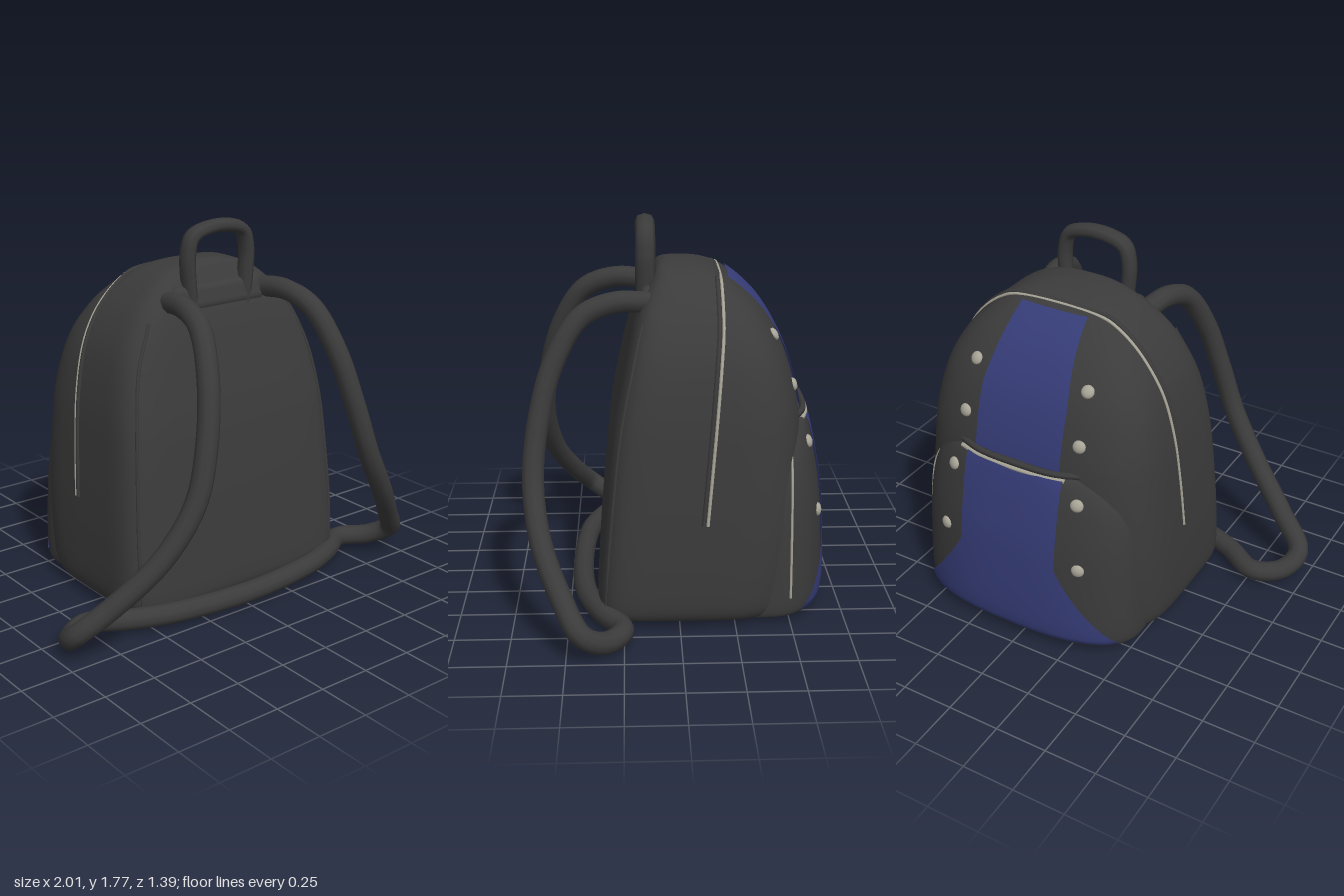
import * as THREE from 'three';
import { mergeVertices } from 'three/addons/utils/BufferGeometryUtils.js';
import { RoundedBoxGeometry } from 'three/addons/geometries/RoundedBoxGeometry.js';

const V = (x, y, z) => new THREE.Vector3(x, y, z);
const CX = 0.065; // the bag sits slightly off the centre of the strap loop

// Smooth grid surface from fn(u, v) -> Vector3, u around, v upwards
function grid(fn, nu, nv) {
  const pos = [], idx = [];
  for (let i = 0; i <= nv; i++)
    for (let j = 0; j <= nu; j++) pos.push(...fn(j / nu, i / nv).toArray());
  for (let i = 0; i < nv; i++)
    for (let j = 0; j < nu; j++) {
      const a = i * (nu + 1) + j, b = a + 1, c = a + nu + 1, d = c + 1;
      idx.push(a, c, b, b, c, d);
    }
  let g = new THREE.BufferGeometry();
  g.setAttribute('position', new THREE.Float32BufferAttribute(pos, 3));
  g.setIndex(idx);
  g = mergeVertices(g, 1e-5);
  g.computeVertexNormals();
  return g;
}

// Padded shell of stacked rounded sections; rows are [y, halfWidth, zFront, zBack]
function shell(rows, nFront, nFrontTop, nBack) {
  const a = new THREE.CatmullRomCurve3(rows.map(r => V(r[0], r[1], 0)), false, 'catmullrom');
  const b = new THREE.CatmullRomCurve3(rows.map(r => V(r[2], r[3], 0)), false, 'catmullrom');
  const at = t => {
    const p = a.getPoint(t), q = b.getPoint(t), zc = (q.x + q.y) / 2;
    return { y: p.x, w: p.y, zc, d: (q.x - q.y) / 2 };
  };
  const tOf = y => {
    let lo = 0, hi = 1;
    for (let i = 0; i < 30; i++) {
      const m = (lo + hi) / 2;
      if (at(m).y < y) lo = m; else hi = m;
    }
    return lo;
  };
  const root = f => Math.pow(Math.max(0, 1 - Math.pow(Math.min(1, Math.abs(f)), nBack)), 1 / nBack);
  const surf = (t, ang) => {
    const s = at(t), c = Math.cos(ang), n = Math.sin(ang);
    const e = 2 / (n > 0 ? nFront + (nFrontTop - nFront) * t * t : nBack);
    return V(s.w * Math.sign(c) * Math.abs(c) ** e, s.y, s.zc + s.d * Math.sign(n) * Math.abs(n) ** e);
  };
  const onBack = (y, x) => {
    const s = at(tOf(y));
    return V(x, y, s.zc - s.d * root(x / s.w));
  };
  const onSide = (y, z, side) => {
    const s = at(tOf(y));
    return V(side * s.w * root((z - s.zc) / s.d), y, z);
  };
  const N = (rows.length - 1) * 4;
  const geometry = grid((u, v) => {
    const k = Math.round(v * (N + 2)) - 1; // first and last rows close the ends
    const t = Math.min(1, Math.max(0, k / N));
    if (k >= 0 && k <= N) return surf(t, (u % 1) * Math.PI * 2);
    const s = at(t);
    return V(0, s.y, s.zc);
  }, 64, N + 2);
  return { surf, onBack, onSide, tOf, geometry };
}

export function createModel() {
  const model = new THREE.Group();
  model.name = 'backpack';
  const mat = (name, color, side = THREE.FrontSide) => {
    const m = new THREE.MeshStandardMaterial({ color, side });
    m.name = name;
    return m;
  };
  const fabric = mat('charcoal fabric', 0x3b3b3b);
  const blue = mat('blue fabric', 0x363d78, THREE.DoubleSide);
  const metal = mat('dull silver', 0xa9a698);

  const bag = new THREE.Group();
  bag.name = 'bag';
  bag.position.x = CX;
  model.add(bag);
  const add = (name, geo, material, parent = bag) => {
    const m = new THREE.Mesh(geo, material);
    m.name = name;
    parent.add(m);
    return m;
  };
  const tube = (pts, r, seg = 60, sides = 8) =>
    new THREE.TubeGeometry(new THREE.CatmullRomCurve3(pts), seg, r, sides);

  // Main compartment
  const body = shell([
    [0.02, 0.57, 0.33, -0.50], [0.05, 0.615, 0.365, -0.53], [0.15, 0.635, 0.37, -0.55],
    [0.45, 0.63, 0.345, -0.58], [0.8, 0.605, 0.31, -0.57], [1.0, 0.58, 0.275, -0.545],
    [1.2, 0.53, 0.23, -0.485], [1.35, 0.45, 0.19, -0.40], [1.45, 0.36, 0.15, -0.31],
    [1.52, 0.27, 0.11, -0.22], [1.56, 0.17, 0.085, -0.13], [1.58, 0.05, 0.05, -0.03],
  ], 8, 3, 3.5);
  add('mainCompartment', body.geometry, fabric);

  // Outer pocket
  const pocket = shell([
    [0.02, 0.55, -0.1, -0.64], [0.05, 0.575, -0.1, -0.68], [0.2, 0.575, -0.1, -0.69],
    [0.5, 0.56, -0.12, -0.675], [0.7, 0.53, -0.15, -0.645], [0.82, 0.47, -0.2, -0.62],
    [0.89, 0.40, -0.2, -0.60], [0.91, 0.34, -0.2, -0.57],
  ], 3, 3, 2.6);
  add('outerPocket', pocket.geometry, fabric);

  // Blue centre stripe, laid just over each shell
  const stripe = (sh, y0, y1, half) => grid((u, v) => {
    const y = y0 + (y1 - y0) * v;
    const p = sh.onBack(y, (u * 2 - 1) * half(y));
    return V(p.x * 1.012, p.y + 0.004, p.z - 0.008);
  }, 28, 36);
  add('upperStripe', stripe(body, 0.86, 1.515, y => 0.22 - 0.05 * Math.max(0, (y - 1.2) / 0.3)), blue);
  add('pocketStripe', stripe(pocket, 0.025, 0.885,
    y => 0.25 + 0.28 * Math.min(1, Math.max(0, (0.45 - y) / 0.4)) ** 1.2), blue);

  // Main zip, running up both sides and over the top, with a dark piping behind
  const zipPath = dz => {
    const ys = [0.5, 0.75, 1.0, 1.2, 1.33, 1.42, 1.48, 1.515];
    const z = y => -0.12 - 0.075 * Math.min(1, (y - 0.5) / 0.85) + dz;
    const right = ys.map(y => body.onSide(y, z(y), -1));
    const left = ys.map(y => body.onSide(y, z(y), 1)).reverse();
    return [...right, ...left];
  };
  add('mainZip', tube(zipPath(0), 0.008, 120, 6), metal);
  add('zipPiping', tube(zipPath(0.018), 0.012, 120, 6), fabric);

  // Pocket zip across the top, and down the left edge
  add('pocketZip', tube([-0.26, -0.1, 0.06, 0.2, 0.3].map(x => pocket.onBack(0.885, x)), 0.011, 40, 6), metal);
  add('pocketSideZip', tube([0.84, 0.7, 0.5, 0.3, 0.12].map(y => pocket.onSide(y, -0.5, 1)), 0.006, 40, 6), metal);
  add('pocketPiping', tube([-0.34, -0.2, 0, 0.2, 0.34].map(x =>
    pocket.onBack(0.89, x).add(V(0, 0.015, 0.01))), 0.016, 40, 6), fabric);

  // Piping along the edges of the back panel
  for (const side of [1, -1]) {
    const pts = [0.08, 0.3, 0.6, 0.9, 1.15, 1.35].map(y =>
      body.surf(body.tOf(y), side > 0 ? Math.PI / 4 : Math.PI * 0.75));
    add('panelPiping', tube(pts, 0.009, 40, 6), fabric);
  }

  // Studs in pairs beside the stripe
  for (const side of [1, -1])
    for (const [sh, y, x] of [[body, 1.28, 0.29], [body, 1.05, 0.3], [pocket, 0.79, 0.33], [pocket, 0.47, 0.36]]) {
      const p = sh.onBack(y, side * x);
      const dx = sh.onBack(y, side * x + 0.01).sub(p), dy = sh.onBack(y + 0.01, side * x).sub(p);
      const stud = add('stud', new THREE.SphereGeometry(0.031, 12, 8), metal);
      stud.scale.z = 0.55;
      stud.position.copy(p);
      stud.quaternion.setFromUnitVectors(V(0, 0, 1), dy.cross(dx).normalize());
    }

  // Carry handle and its anchor
  const loop = tube([V(-0.15, 1.36, 0), V(-0.165, 1.5, 0), V(-0.17, 1.62, 0), V(-0.145, 1.705, 0),
    V(-0.06, 1.738, 0), V(0.06, 1.738, 0), V(0.145, 1.705, 0), V(0.17, 1.62, 0),
    V(0.165, 1.5, 0), V(0.15, 1.36, 0)], 0.032, 50, 8);
  loop.scale(1, 1, 1.4);
  add('carryHandle', loop, fabric).position.z = 0.14;
  const anchor = add('handleAnchor', new RoundedBoxGeometry(0.52, 0.13, 0.1, 3, 0.04), fabric);
  anchor.position.set(0, 1.42, 0.125);
  anchor.rotation.x = -0.3;

  // Shoulder straps, joined in one loop along the bottom
  const half = [
    [-0.2, 1.42, 0.1], [-0.23, 1.43, 0.28], [-0.26, 1.37, 0.43], [-0.31, 1.18, 0.55],
    [-0.37, 0.93, 0.62], [-0.45, 0.68, 0.645], [-0.6, 0.45, 0.61], [-0.8, 0.25, 0.52],
    [-0.94, 0.12, 0.43], [-0.9, 0.06, 0.33], [-0.77, 0.055, 0.255], [-0.6, 0.06, 0.35], [-0.4, 0.06, 0.42],
  ].map(p => V(...p));
  const other = half.map(p => V(-p.x + 2 * CX * Math.min(1, p.y / 0.5), p.y, p.z)).reverse();
  add('shoulderStraps', tube([...half, V(0.03, 0.05, 0.45), ...other], 0.05, 200, 10), fabric, model);

  return model;
}
